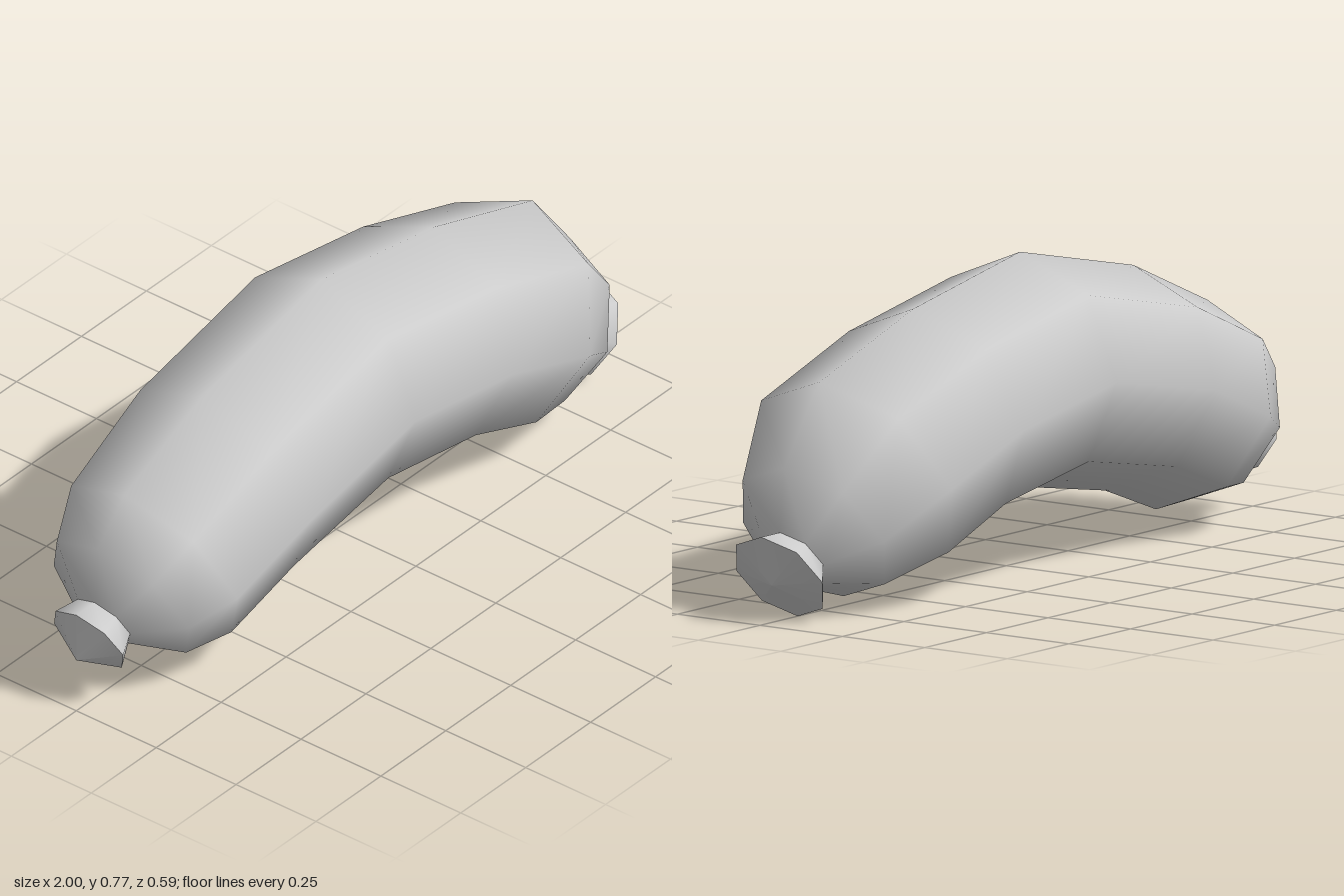
import * as THREE from 'three';

const SIDES = 8;

// Skins a row of elliptical rings running towards +x.
// Each ring: [topX, topY, bottomX, bottomY, halfWidth]
function loft(name, rings, material) {
  const positions = [], index = [];
  for (const [tx, ty, bx, by, w] of rings) {
    for (let j = 0; j < SIDES; j++) {
      const a = (j / SIDES) * Math.PI * 2;
      positions.push(
        (tx + bx) / 2 + ((tx - bx) / 2) * Math.cos(a),
        (ty + by) / 2 + ((ty - by) / 2) * Math.cos(a),
        w * Math.sin(a)
      );
    }
  }
  for (let i = 0; i < rings.length - 1; i++) {
    for (let j = 0; j < SIDES; j++) {
      const k = (j + 1) % SIDES;
      const a = i * SIDES + j, b = i * SIDES + k;
      index.push(a, b, a + SIDES, b, b + SIDES, a + SIDES);
    }
  }
  const geometry = new THREE.BufferGeometry();
  geometry.setAttribute('position', new THREE.Float32BufferAttribute(positions, 3));
  geometry.setIndex(index);
  geometry.computeVertexNormals();
  const mesh = new THREE.Mesh(geometry, material);
  mesh.name = name;
  return mesh;
}

export function createModel() {
  const group = new THREE.Group();
  group.name = 'sausage';
  const material = new THREE.MeshStandardMaterial({ color: 0xcccccc, side: THREE.DoubleSide });

  // Rings shared between the casing and its tied ends
  const rightNeck = [-0.93, 0.285, -0.865, 0.14, 0.085];
  const leftNeck = [0.918, 0.22, 0.815, 0.067, 0.092];
  const rightRim = [-1, 0.285, -0.905, 0.092, 0.108];
  const leftRim = [0.995, 0.22, 0.847, 0.003, 0.13];
  const rightTip = [-1, 0.152, -1, 0.152, 0];
  const leftTip = [0.952, 0.094, 0.952, 0.094, 0];

  // Curved casing
  group.add(loft('body', [
    rightNeck,
    [-0.917, 0.435, -0.735, 0.057, 0.212],
    [-0.815, 0.54, -0.607, 0.053, 0.27],
    [-0.515, 0.67, -0.4, 0.13, 0.293],
    [-0.055, 0.77, -0.055, 0.19, 0.295],
    [0.377, 0.693, 0.265, 0.14, 0.295],
    [0.757, 0.568, 0.473, 0.06, 0.295],
    [0.903, 0.377, 0.66, 0.025, 0.214],
    leftNeck,
  ], material));

  // Flared knots with shallow domed ends
  group.add(loft('rightKnot', [rightRim, rightNeck], material));
  group.add(loft('rightKnotEnd', [rightTip, rightRim], material));
  group.add(loft('leftKnot', [leftNeck, leftRim], material));
  group.add(loft('leftKnotEnd', [leftRim, leftTip], material));

  return group;
}
